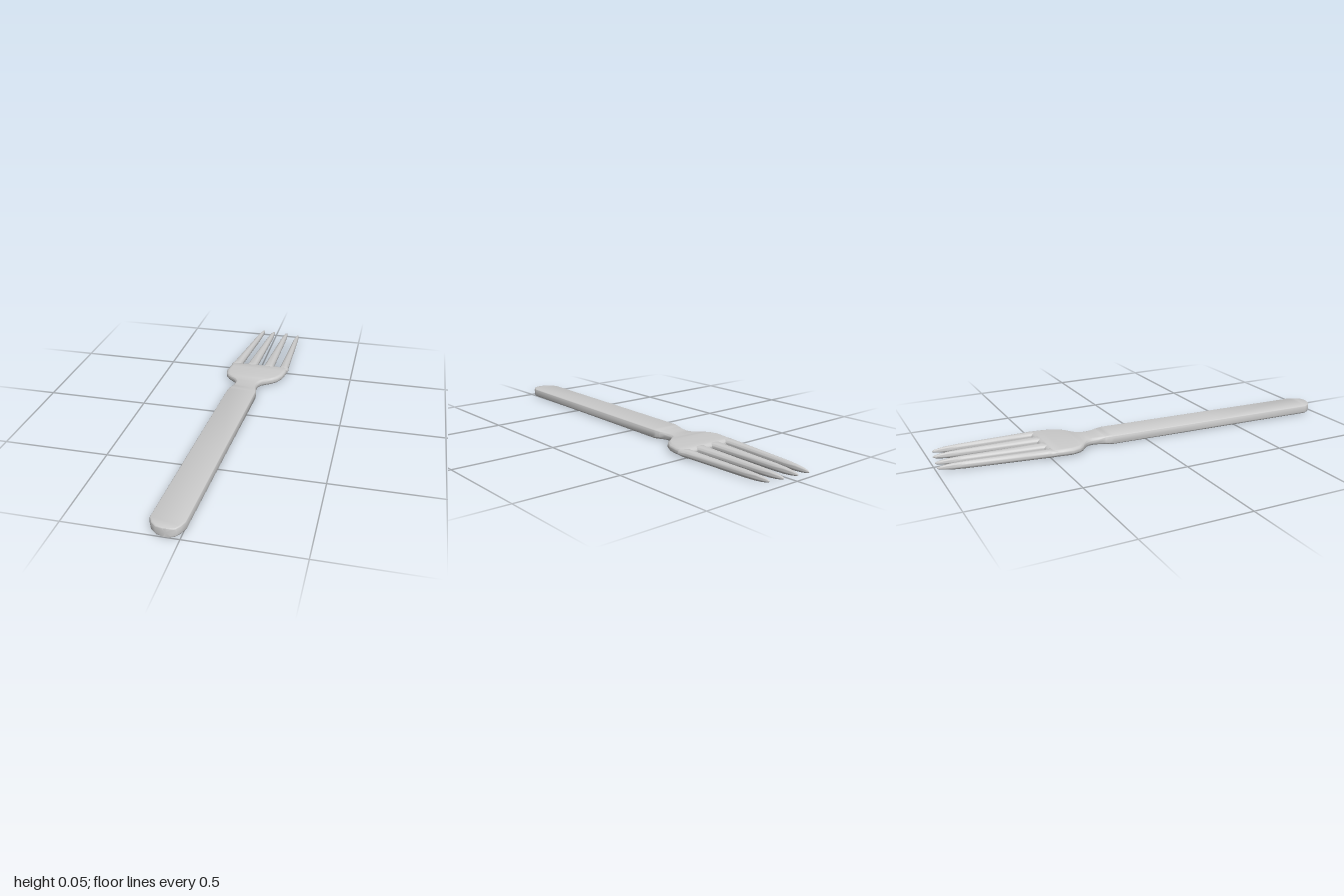
import * as THREE from 'three';
import { toCreasedNormals } from 'three/addons/utils/BufferGeometryUtils.js';

const MID_Y = 0.0225;
const SEG = 4; // segments per rounded corner

// Rounded rectangle between x = l and x = r, counter-clockwise seen from +z
function section([z, l, r, h, corner]) {
  const w = (r - l) / 2, cx = (l + r) / 2;
  const rx = Math.min(corner, w * 0.9), ry = Math.min(corner, h * 0.88);
  const pts = [];
  for (let q = 0; q < 4; q++) {
    const sx = q === 0 || q === 3 ? 1 : -1, sy = q < 2 ? 1 : -1;
    for (let i = 0; i <= SEG; i++) {
      const a = (q + i / SEG) * Math.PI / 2;
      pts.push([cx + sx * (w - rx) + rx * Math.cos(a), MID_Y + sy * (h - ry) + ry * Math.sin(a), z]);
    }
  }
  return pts;
}

// Skin over stations [z, left, right, halfHeight, corner] running towards -z
function loft(name, stations, material, capStart, capEnd) {
  const pos = [], index = [], n = 4 * (SEG + 1), last = stations.length - 1;
  stations.forEach((s) => section(s).forEach((p) => pos.push(...p)));
  for (let i = 0; i < last; i++) {
    for (let j = 0; j < n; j++) {
      const k = (j + 1) % n;
      const a = i * n + j, b = i * n + k, c = b + n, d = a + n;
      index.push(a, d, c, a, c, b);
    }
  }
  const cap = (row, flip) => {
    const [z, l, r] = stations[row], centre = pos.length / 3;
    pos.push((l + r) / 2, MID_Y, z);
    for (let j = 0; j < n; j++) {
      const a = row * n + j, b = row * n + (j + 1) % n;
      index.push(centre, flip ? b : a, flip ? a : b);
    }
  };
  if (capStart) cap(0, false);
  if (capEnd) cap(last, true);
  const geo = new THREE.BufferGeometry();
  geo.setAttribute('position', new THREE.Float32BufferAttribute(pos, 3));
  geo.setIndex(index);
  const mesh = new THREE.Mesh(toCreasedNormals(geo, 0.65), material);
  mesh.name = name;
  return mesh;
}

export function createModel() {
  const group = new THREE.Group();
  group.name = 'fork';
  const metal = new THREE.MeshStandardMaterial({ color: 0xcccccc });

  // Long flat handle with an arched end
  group.add(loft('handle', [
    [1.0, -0.075, -0.04, 0.0205, 0.008],
    [0.992, -0.102, -0.018, 0.021, 0.01],
    [0.97, -0.127, -0.002, 0.021, 0.01],
    [0.94, -0.142, 0.009, 0.0215, 0.01],
    [0.4, -0.123, 0.027, 0.022, 0.01],
    [-0.17, -0.102, 0.047, 0.0225, 0.01],
    [-0.19, -0.098, 0.045, 0.022, 0.011],
    [-0.21, -0.093, 0.041, 0.0205, 0.012],
  ], metal, true, false));

  // Neck flaring into the palm, rounded off at the slot bottoms
  group.add(loft('neckAndPalm', [
    [-0.21, -0.093, 0.041, 0.0205, 0.012],
    [-0.24, -0.087, 0.035, 0.0185, 0.014],
    [-0.27, -0.085, 0.036, 0.018, 0.016],
    [-0.29, -0.088, 0.042, 0.0175, 0.016],
    [-0.31, -0.1, 0.053, 0.0175, 0.017],
    [-0.33, -0.122, 0.08, 0.0175, 0.018],
    [-0.345, -0.14, 0.104, 0.0175, 0.019],
    [-0.365, -0.154, 0.125, 0.0175, 0.02],
    [-0.4, -0.163, 0.144, 0.0175, 0.02],
    [-0.45, -0.158, 0.154, 0.0175, 0.02],
    [-0.485, -0.152, 0.157, 0.0175, 0.02],
    [-0.498, -0.149, 0.156, 0.014, 0.02],
    [-0.505, -0.145, 0.152, 0.009, 0.02],
    [-0.508, -0.142, 0.149, 0.003, 0.02],
  ], metal, false, true));

  // Tines: [left and right at the base, tip x, tip z]
  const tines = [
    [-0.152, -0.102, -0.072, -1.0],
    [-0.07, -0.015, -0.011, -0.995],
    [0.022, 0.076, 0.067, -0.987],
    [0.111, 0.158, 0.137, -0.975],
  ];
  // [fraction along the tine, width factor, half height]
  const taper = [
    [-0.05, 1.15, 0.014], [0, 1.13, 0.0165], [0.02, 1.03, 0.0175], [0.05, 0.96, 0.0175],
    [0.25, 0.84, 0.0175], [0.5, 0.7, 0.0172], [0.75, 0.56, 0.0165], [0.86, 0.47, 0.0145],
    [0.93, 0.37, 0.011], [0.975, 0.24, 0.007], [0.993, 0.13, 0.004], [1, 0.04, 0.0015],
  ];
  tines.forEach(([l, r, tipX, tipZ], i) => {
    const stations = taper.map(([t, k, h]) => {
      const x = THREE.MathUtils.lerp((l + r) / 2, tipX, t);
      const w = k * (r - l) / 2;
      return [THREE.MathUtils.lerp(-0.497, tipZ, t), x - w, x + w, h, 0.017];
    });
    group.add(loft('tine' + (i + 1), stations, metal, false, true));
  });

  return group;
}
